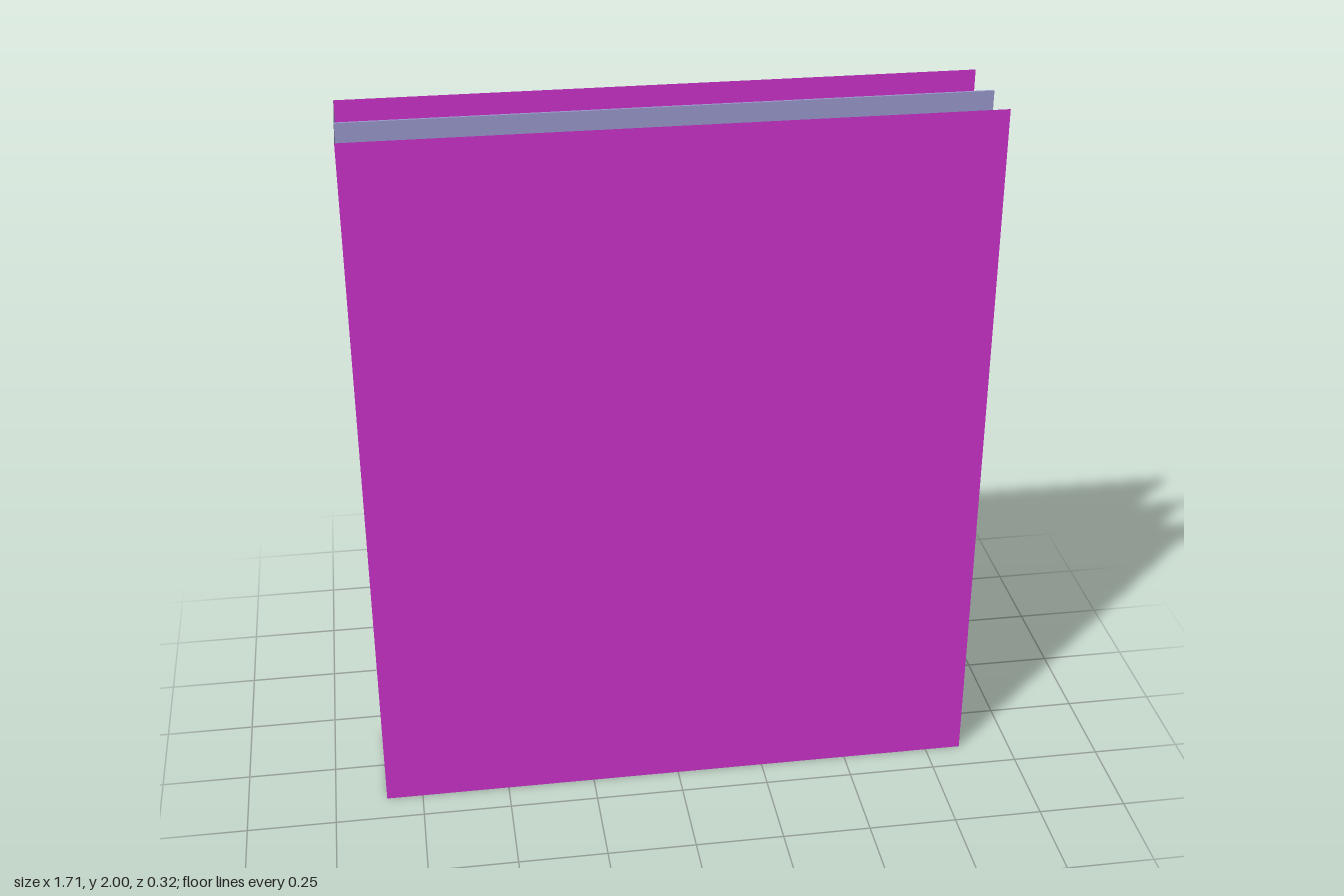
import * as THREE from 'three';
import { mergeGeometries } from 'three/addons/utils/BufferGeometryUtils.js';

const mat = (color) => new THREE.MeshStandardMaterial({ color, side: THREE.DoubleSide });

export function createModel() {
  const model = new THREE.Group();
  const magenta = mat(0xcc33cc), blue = mat(0x9999cc), pink = mat(0xffcccc);
  const violet = mat(0x6633ff), grey = mat(0xcccccc);

  const add = (name, geometry, material) => {
    const mesh = new THREE.Mesh(geometry, material);
    mesh.name = name;
    model.add(mesh);
  };
  // Box given by its limits on each axis
  const box = (name, material, [x0, x1], [y0, y1], [z0, z1]) =>
    add(name, new THREE.BoxGeometry(x1 - x0, y1 - y0, z1 - z0)
      .translate((x0 + x1) / 2, (y0 + y1) / 2, (z0 + z1) / 2), material);
  // Upright sheet facing z
  const sheet = (name, material, [x0, x1], [y0, y1], z) =>
    add(name, new THREE.PlaneGeometry(x1 - x0, y1 - y0)
      .translate((x0 + x1) / 2, (y0 + y1) / 2, z), material);

  // Outer casing: two large walls, closed at one end
  const wide = [-0.853, 0.853], tall = [0, 2];
  sheet('frontWall', magenta, wide, tall, 0.162);
  sheet('backWall', magenta, wide, tall, -0.162);
  add('endWall', new THREE.PlaneGeometry(0.324, 2).rotateY(-Math.PI / 2).translate(-0.853, 1, 0), blue);
  box('centrePanel', blue, wide, tall, [0.009, 0.016]);

  // Layered core on both sides of the centre panel
  const core = [-0.85, 0.405], coreY = [0.005, 1.895];
  box('coreSlab', grey, core, [0.005, 1.9], [-0.022, 0.009]);
  box('backCoreLayer', violet, core, coreY, [-0.043, -0.022]);
  box('frontCoreLayer', violet, core, coreY, [0.016, 0.041]);

  // Thin horizontal ledges at the bottom, middle and top of the core
  for (const y of [0.005, 0.95, 1.897]) {
    box('backLedge', blue, core, [y - 0.002, y + 0.002], [-0.058, -0.022]);
    box('frontLedge', blue, core, [y - 0.002, y + 0.002], [0.016, 0.061]);
  }

  // Twelve rows of thin upright fins on each side
  for (let row = 0; row < 12; row++) {
    for (const [name, z0, z1] of [['backFins', -0.09, -0.036], ['frontFins', 0.036, 0.09]]) {
      const fins = [];
      for (let i = 0; i < 39; i++) {
        fins.push(new THREE.PlaneGeometry(z1 - z0, 0.135).rotateY(Math.PI / 2)
          .translate(-0.835 + i * 0.0324, 0.0925 + row * 0.1564, (z0 + z1) / 2));
      }
      add(name, mergeGeometries(fins), magenta);
    }
  }

  // Four square posts near the open end
  for (const x of [0.69, 0.745]) {
    box('backPost', pink, [x, x + 0.046], [0, 1.56], [-0.042, 0.003]);
    box('frontPost', pink, [x, x + 0.046], [0, 1.56], [0.026, 0.071]);
  }

  // Small sheets beside the posts
  sheet('frontSideSheet', magenta, [0.6, 0.787], [0.55, 1.55], 0.088);
  sheet('backSideSheet', magenta, [0.6, 0.787], [0.55, 1.55], -0.076);

  return model;
}
